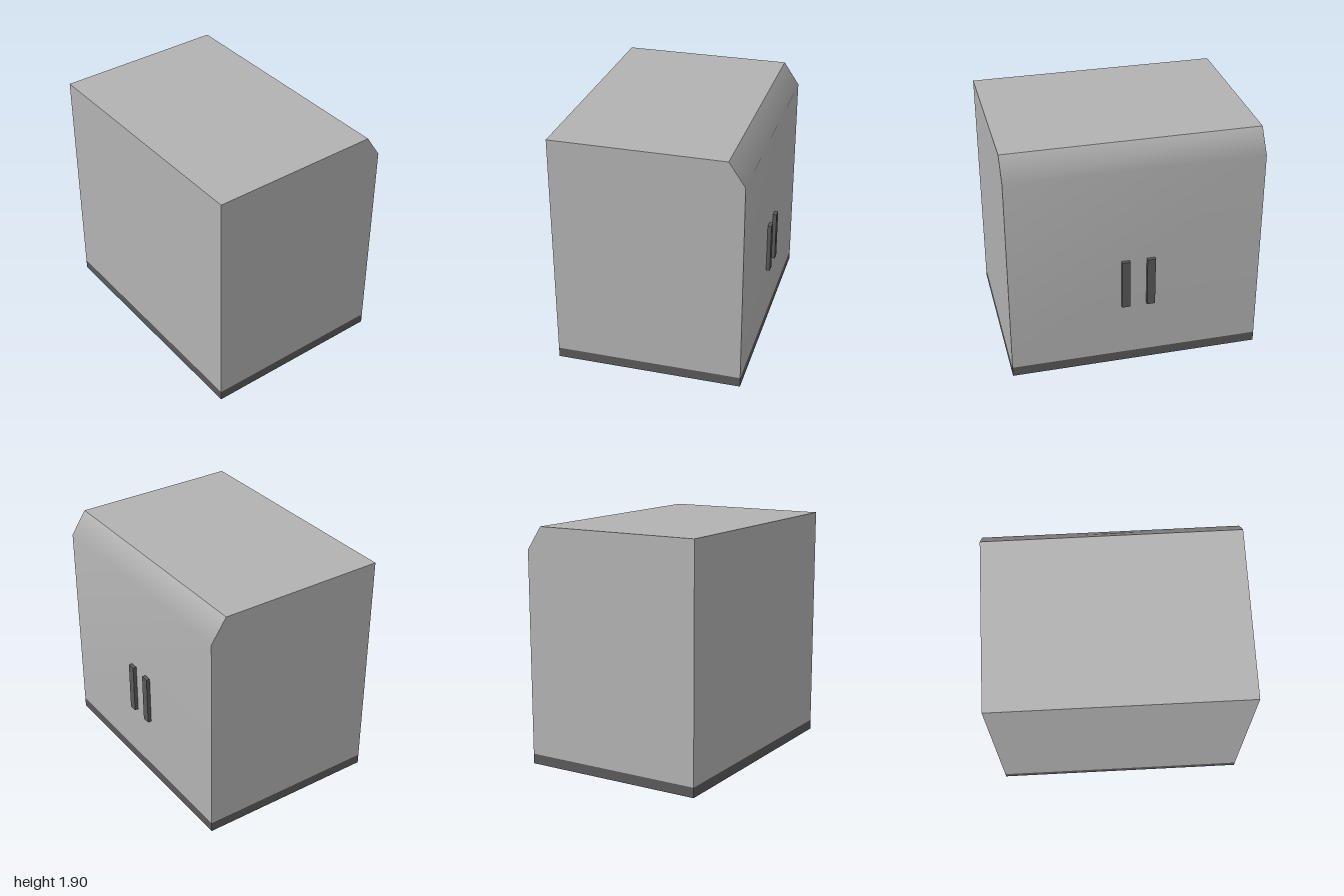
import * as THREE from 'three';

const L = -0.755, R = 0.725, TOP = 1.9, SKIRT = 0.08, HALF = 1;

// Sheet swept along z through profile points; shared points shade smoothly.
function sweptSheet(points) {
  const pos = [], index = [];
  points.forEach(([x, y], i) => {
    pos.push(x, y, HALF, x, y, -HALF);
    if (i > 0) {
      const a = (i - 1) * 2, b = i * 2;
      index.push(a, a + 1, b + 1, a, b + 1, b);
    }
  });
  const geo = new THREE.BufferGeometry();
  geo.setAttribute('position', new THREE.Float32BufferAttribute(pos, 3));
  geo.setIndex(index);
  geo.computeVertexNormals();
  return geo;
}

export function createModel() {
  const model = new THREE.Group();
  model.name = 'cabinet';
  const shell = new THREE.MeshStandardMaterial({ name: 'light grey', color: 0xb2b2b2, side: THREE.DoubleSide });
  const dark = new THREE.MeshStandardMaterial({ name: 'dark grey', color: 0x595959, side: THREE.DoubleSide });

  function add(name, geo, mat) {
    const mesh = new THREE.Mesh(geo, mat);
    mesh.name = name;
    model.add(mesh);
    return mesh;
  }

  // Flat panel with the given outline, on the front and the back
  function addEnds(name, outline, mat) {
    const shape = new THREE.Shape(outline.map(([x, y]) => new THREE.Vector2(x, y)));
    add(name + 'Front', new THREE.ShapeGeometry(shape), mat).position.z = HALF;
    const mirrored = new THREE.Shape(outline.map(([x, y]) => new THREE.Vector2(-x, y)));
    const back = add(name + 'Back', new THREE.ShapeGeometry(mirrored), mat);
    back.position.z = -HALF;
    back.rotation.y = Math.PI;
  }

  // Thin shell, open underneath, with one sloping upper edge
  const right = [[R, SKIRT], [R, 1.715], [0.6, TOP]];
  addEnds('panel', [...right, [L, TOP], [L, SKIRT]], shell);
  add('slopedSide', sweptSheet(right), shell);
  add('topPanel', sweptSheet([[0.6, TOP], [L, TOP]]), shell);
  add('plainSide', sweptSheet([[L, TOP], [L, SKIRT]]), shell);

  // Dark skirt around the foot
  addEnds('skirt', [[L, 0], [R, 0], [R, SKIRT], [L, SKIRT]], dark);
  add('skirtLeft', sweptSheet([[R, 0], [R, SKIRT]]), dark);
  add('skirtRight', sweptSheet([[L, SKIRT], [L, 0]]), dark);

  // Pair of upright handles
  for (const z of [0.088, -0.113]) {
    add('handle', new THREE.BoxGeometry(0.03, 0.41, 0.065), dark).position.set(R + 0.015, 0.735, z);
  }
  return model;
}
